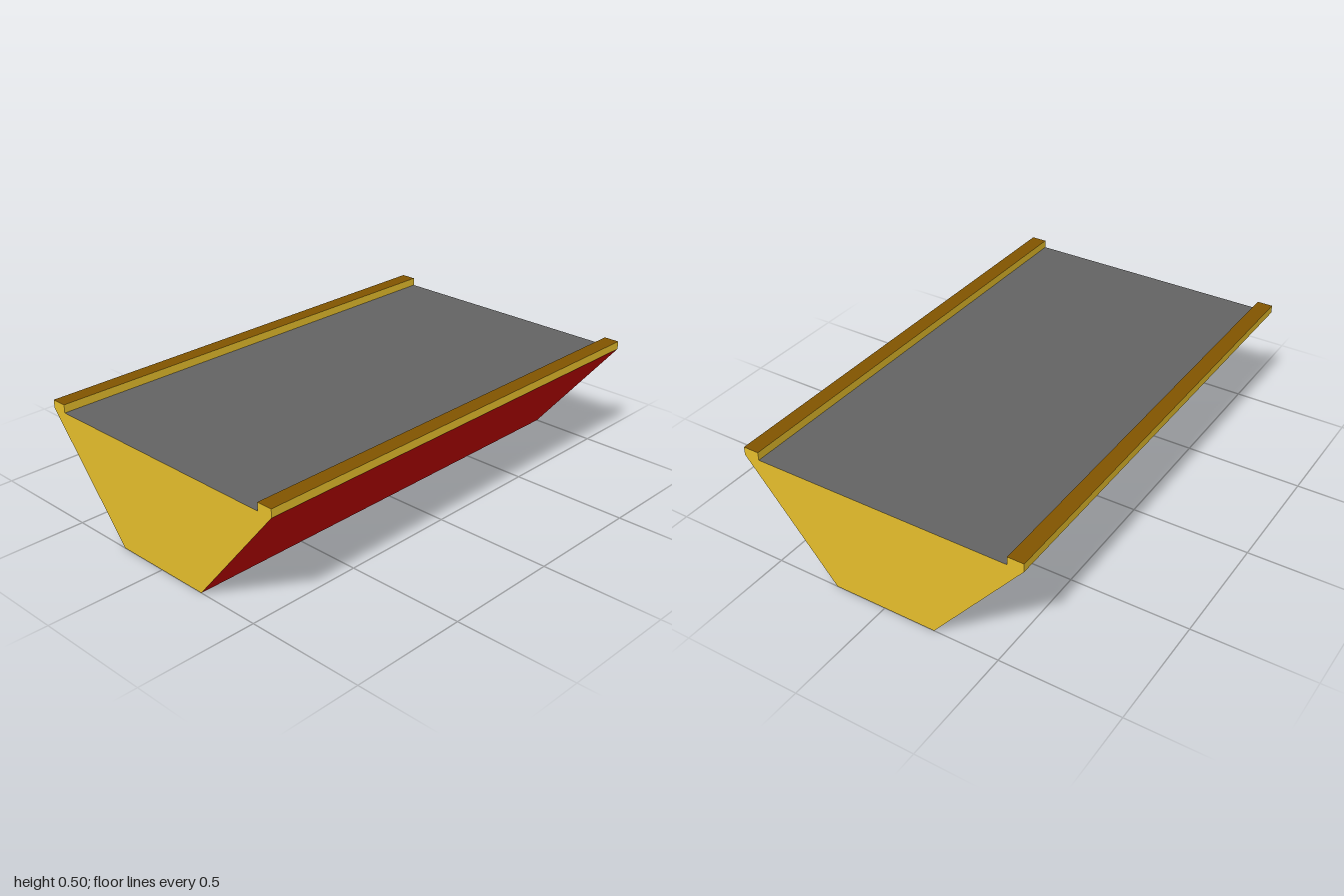
import * as THREE from 'three';

const paint = (name, color) => {
  const m = new THREE.MeshStandardMaterial({ color });
  m.name = name;
  return m;
};

export function createModel() {
  const yellow = paint('yellow', 0xe8c02c);
  const brown = paint('brown', 0x825500);
  const grey = paint('grey', 0x646464);
  const red = paint('red', 0xdc0400);
  const maroon = paint('maroon', 0x9f001c);
  const group = new THREE.Group();
  group.name = 'bridgeDeck';

  // Cross-section as [z, y], each with the face that runs on to the next point
  const section = [
    [-0.223, 0, 'underside', maroon],
    [0.223, 0, 'frontSlope', red],
    [0.61, 0.463, 'frontCurbOuter', yellow],
    [0.61, 0.497, 'frontCurbTop', brown],
    [0.543, 0.497, 'frontCurbInner', yellow],
    [0.543, 0.463, 'deck', grey],
    [-0.543, 0.463, 'backCurbInner', yellow],
    [-0.543, 0.497, 'backCurbTop', brown],
    [-0.61, 0.497, 'backCurbOuter', yellow],
    [-0.61, 0.463, 'backSlope', red],
  ];

  const add = (name, geometry, material) => {
    const mesh = new THREE.Mesh(geometry, material);
    mesh.name = name;
    group.add(mesh);
  };

  // Long faces swept along x
  section.forEach(([z, y, name, material], i) => {
    const [z2, y2] = section[(i + 1) % section.length];
    const g = new THREE.BufferGeometry();
    g.setAttribute('position', new THREE.Float32BufferAttribute(
      [-1, y, z, 1, y, z, 1, y2, z2, -1, y2, z2], 3));
    g.setIndex([0, 1, 2, 0, 2, 3]);
    g.computeVertexNormals();
    add(name, g, material);
  });

  // End caps; the section is symmetric, so one outline serves both
  const outline = new THREE.Shape(section.map(([z, y]) => new THREE.Vector2(z, y)));
  for (const side of [1, -1]) {
    const cap = new THREE.ShapeGeometry(outline);
    cap.rotateY(side * Math.PI / 2);
    cap.translate(side, 0, 0);
    add(side > 0 ? 'leftEnd' : 'rightEnd', cap, yellow);
  }
  return group;
}
